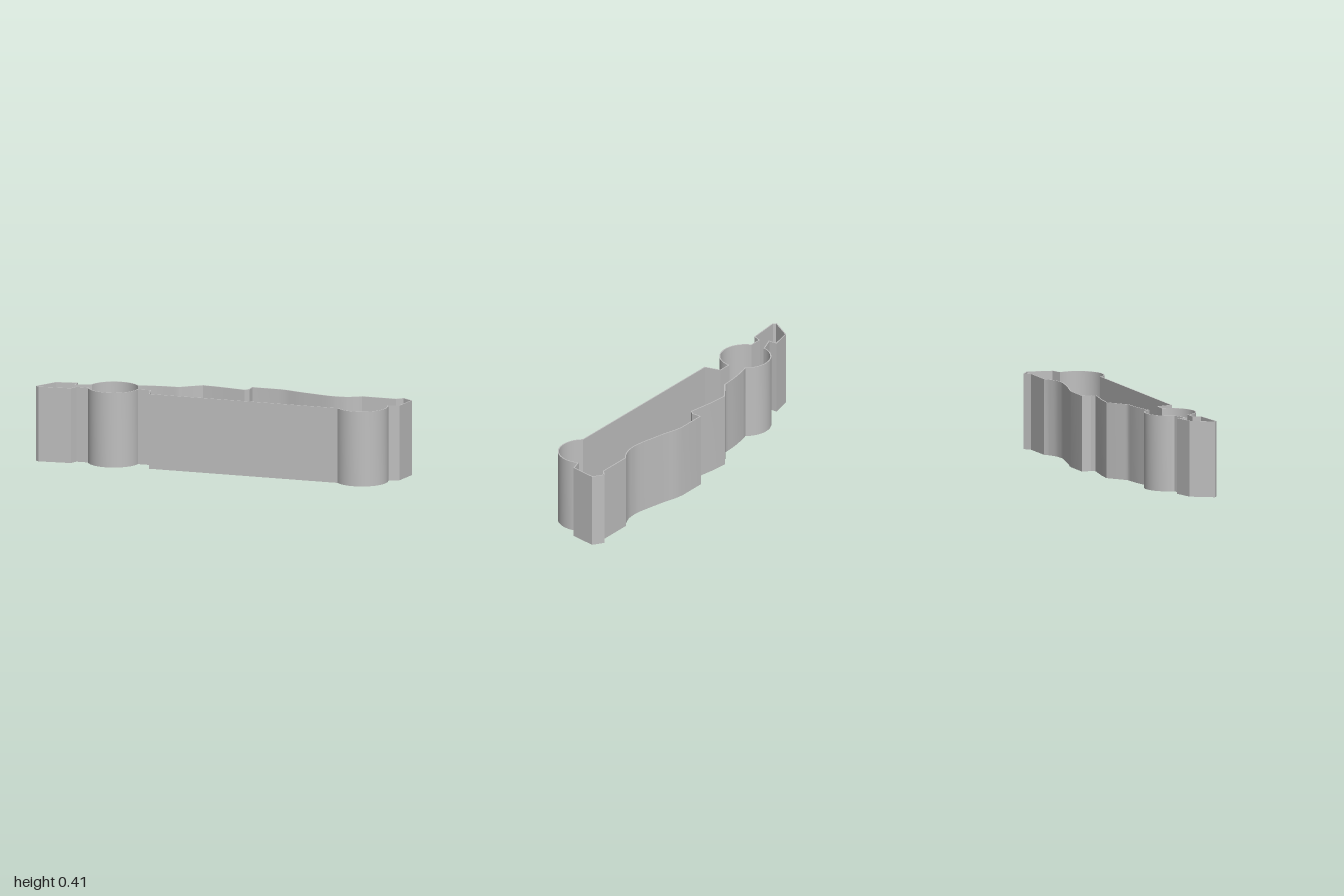
import * as THREE from 'three';
import { toCreasedNormals } from 'three/addons/utils/BufferGeometryUtils.js';

const HEIGHT = 0.405;
const WALL = 0.006;
const V = (x, z) => new THREE.Vector2(x, -z); // plan position, z towards the front

// Points along a wheel arc between two angles
function arc(cx, cz, r, from, to, n = 28) {
  return Array.from({ length: n + 1 }, (_, i) => {
    const a = from + (to - from) * i / n;
    return V(cx + r * Math.cos(a), cz + r * Math.sin(a));
  });
}

const line = (...pts) => pts.map(([x, z]) => V(x, z));
const curve = (n, ...pts) => new THREE.SplineCurve(line(...pts)).getPoints(n);

// Inner outline: each corner moved inwards along its mitre
function inset(pts, d) {
  return pts.map((p, i) => {
    const a = pts[(i + pts.length - 1) % pts.length];
    const b = pts[(i + 1) % pts.length];
    const u = p.clone().sub(a).normalize();
    const v = b.clone().sub(p).normalize();
    const n1 = new THREE.Vector2(-u.y, u.x);
    const n2 = new THREE.Vector2(-v.y, v.x);
    const k = d / Math.max(0.3, 1 + n1.dot(n2));
    return p.clone().addScaledVector(n1.add(n2), k);
  });
}

export function createModel() {
  const model = new THREE.Group();
  model.name = 'racingCarCutter';
  const grey = new THREE.MeshStandardMaterial({ color: 0xbfbfbf });
  grey.name = 'grey';

  const outline = [
    // nose and front wing underside
    ...line([-1, 0.15], [-0.98, 0.166], [-0.805, 0.15], [-0.787, 0.108]),
    // front wheel, lower part
    ...arc(-0.598, 0.05, 0.138, 2.71, 0.07),
    // floor
    ...line([-0.393, 0.06], [-0.37, 0.146]),
    // rear wheel
    ...arc(0.79, 0.057, 0.139, 2.43, -0.4),
    // rear wing
    ...line([0.975, -0.015], [0.998, -0.157], [0.94, -0.195], [0.905, -0.166], [0.715, -0.166]),
    // engine cover
    ...curve(30, [0.695, -0.15], [0.645, -0.128], [0.6, -0.121], [0.55, -0.122],
      [0.457, -0.14], [0.367, -0.16], [0.297, -0.18], [0.25, -0.187]),
    // air intake and cockpit
    ...line([0.093, -0.187], [0.093, -0.135], [0.077, -0.115], [-0.078, -0.14]),
    ...curve(8, [-0.165, -0.147], [-0.21, -0.115], [-0.272, -0.068]),
    ...curve(6, [-0.277, -0.066], [-0.378, -0.058], [-0.482, -0.038]),
    // front wheel, upper part
    ...arc(-0.598, 0.05, 0.138, -0.656, -2.95),
    // front wing
    ...line([-0.81, 0.053], [-0.813, 0.007], [-0.93, 0.033]),
  ];

  const shape = new THREE.Shape(outline);
  shape.holes.push(new THREE.Path(inset(outline, WALL)));
  const geometry = new THREE.ExtrudeGeometry(shape, { depth: HEIGHT, bevelEnabled: false });
  geometry.rotateX(-Math.PI / 2);

  const wall = new THREE.Mesh(toCreasedNormals(geometry, 0.4), grey);
  wall.name = 'outlineWall';
  model.add(wall);
  return model;
}
